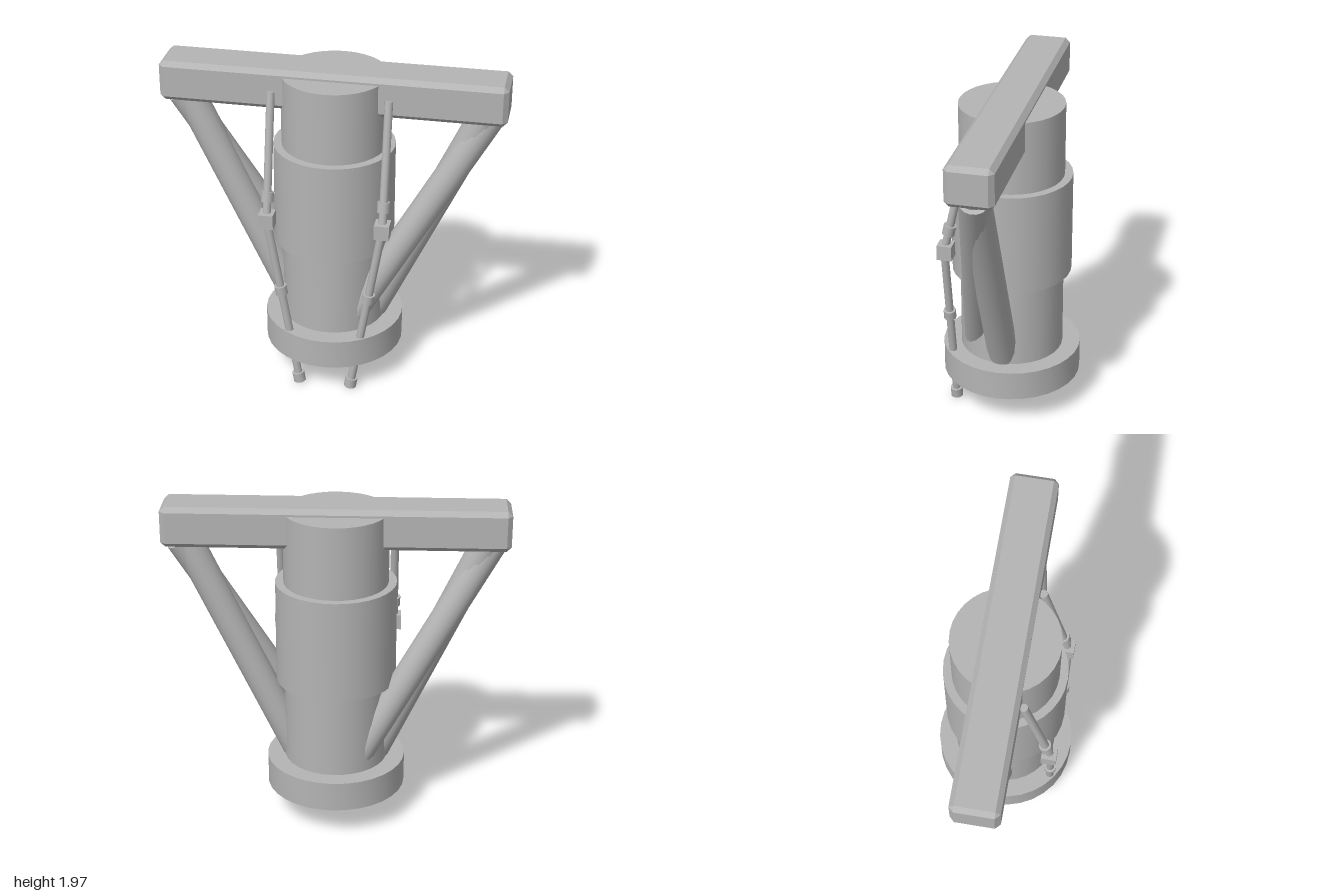
import * as THREE from 'three';
import { toCreasedNormals } from 'three/addons/utils/BufferGeometryUtils.js';
import { ConvexGeometry } from 'three/addons/geometries/ConvexGeometry.js';

const grey = new THREE.MeshStandardMaterial({ color: 0xb4b4b4 });
grey.name = 'grey metal';

function add(parent, name, geometry) {
  const mesh = new THREE.Mesh(geometry, grey);
  mesh.name = name;
  parent.add(mesh);
  return mesh;
}

// Turn a mesh built along y so that it runs from a to b
function align(mesh, a, b) {
  mesh.position.copy(a).lerp(b, 0.5);
  mesh.quaternion.setFromUnitVectors(new THREE.Vector3(0, 1, 0), b.clone().sub(a).normalize());
  return mesh;
}

// Round bar between two points
function bar(parent, name, a, b, radius, sides = 16) {
  return align(add(parent, name, new THREE.CylinderGeometry(radius, radius, a.distanceTo(b), sides)), a, b);
}

// Upright cylinder between two heights
function drum(parent, name, radius, y0, y1) {
  const mesh = add(parent, name, new THREE.CylinderGeometry(radius, radius, y1 - y0, 32));
  mesh.position.y = (y0 + y1) / 2;
}

// Square-edged ring with a through hole, along y
function ringGeometry(inner, outer, y0, y1, sides) {
  const profile = [[inner, y0], [outer, y0], [outer, y1], [inner, y1], [inner, y0]];
  const lathe = new THREE.LatheGeometry(profile.map(([r, y]) => new THREE.Vector2(r, y)), sides);
  return toCreasedNormals(lathe, 0.7);
}

// Box with all edges and corners cut at 45 degrees
function chamferedBox(w, h, d, c) {
  const points = [];
  for (const sx of [-1, 1]) for (const sy of [-1, 1]) for (const sz of [-1, 1]) {
    const [x, y, z] = [w / 2, h / 2, d / 2];
    for (const [px, py, pz] of [[x, y - c, z - c], [x - c, y, z - c], [x - c, y - c, z]]) {
      points.push(new THREE.Vector3(sx * px, sy * py, sz * pz));
    }
  }
  return new ConvexGeometry(points);
}

export function createModel() {
  const model = new THREE.Group();
  model.name = 'landingStrut';
  const V = (x, y, z) => new THREE.Vector3(x, y, z);

  // Central column
  drum(model, 'column', 0.308, 0.25, 1.93);
  drum(model, 'columnSleeve', 0.356, 0.88, 1.495);
  add(model, 'baseRing', ringGeometry(0.285, 0.415, 0.19, 0.37, 32));

  // Cross beam
  add(model, 'crossBeam', chamferedBox(2, 0.24, 0.276, 0.028)).position.y = 1.85;

  for (const s of [-1, 1]) {
    const side = new THREE.Group();
    side.name = s > 0 ? 'leftSide' : 'rightSide';
    model.add(side);

    // Main brace, and a second brace offset forward on one side and back on the other
    bar(side, 'mainBrace', V(s * 0.165, 0.25, 0), V(s * 0.893, 1.8, 0), 0.09);
    bar(side, 'sideBrace', V(s * 0.15, 0.46, s * 0.168), V(s * 0.9, 1.74, s * -0.008), 0.086);

    // Hydraulic line: upper pipe, elbow block, lower pipe and fittings
    const top = V(s * 0.338, 1.85, 0.155), elbow = V(s * 0.338, 1.11, 0.322);
    const foot = V(s * 0.155, 0.008, 0.312);
    bar(side, 'upperPipe', elbow, top, 0.024, 12);
    bar(side, 'lowerPipe', elbow.clone().lerp(foot, 0.96), elbow, 0.024, 12);
    add(side, 'elbowBlock', new THREE.BoxGeometry(0.088, 0.09, 0.088)).position.set(s * 0.338, 1.113, 0.313);

    const fitting = (name, from, to, t0, t1) =>
      bar(side, name, from.clone().lerp(to, t0), from.clone().lerp(to, t1), 0.037, 12);
    fitting('upperFitting', elbow, top, 0.15, 0.23);
    fitting('lowerFitting', elbow, foot, 0.395, 0.445);

    // Open end fitting
    const start = elbow.clone().lerp(foot, 0.945);
    const half = start.distanceTo(foot) / 2;
    align(add(side, 'endFitting', ringGeometry(0.022, 0.037, -half, half, 12)), foot, start);
  }
  return model;
}
